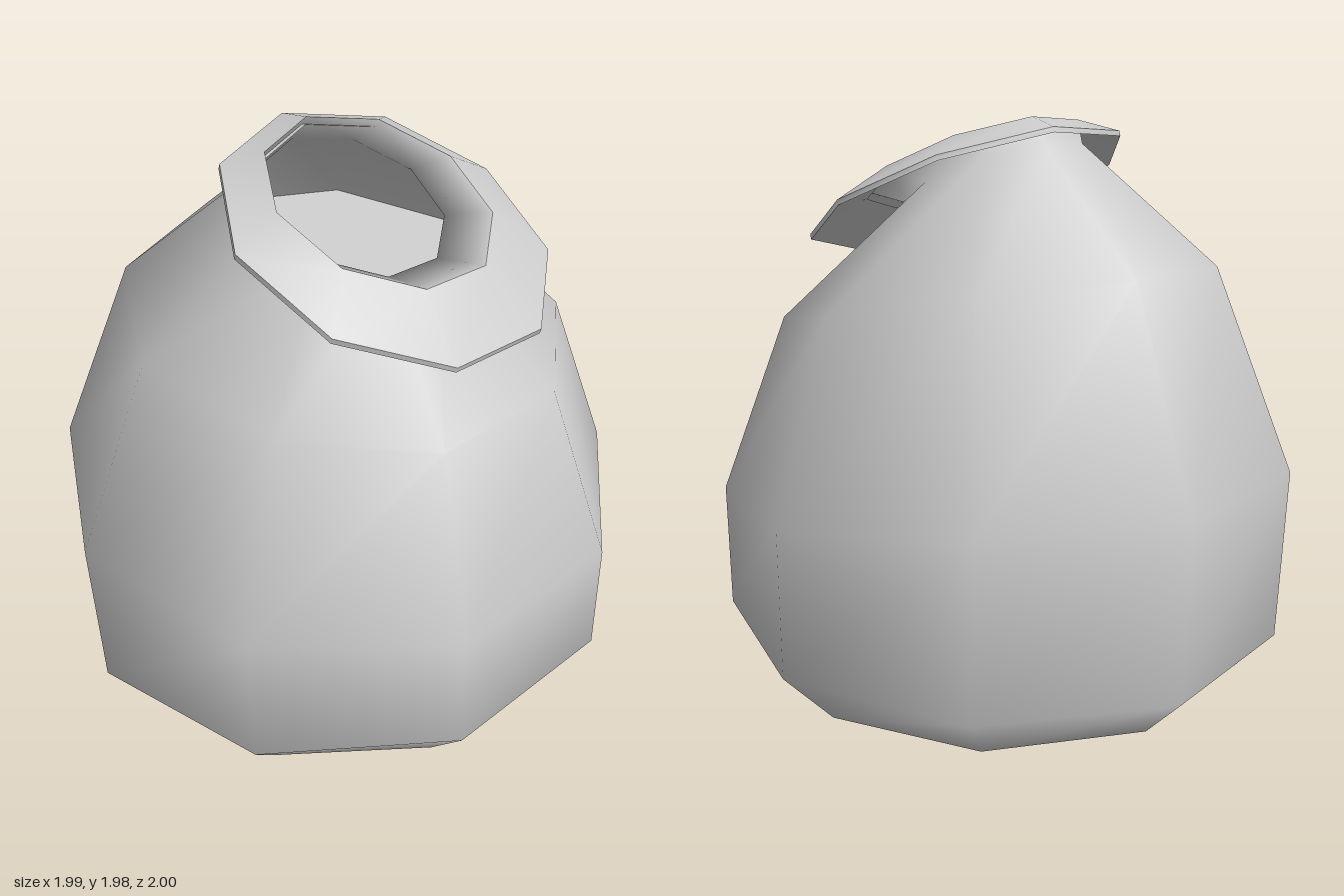
import * as THREE from 'three';

const SIDES = 9;
const CENTRE_X = -0.035;
const WIDEN = 1.01; // rings are a touch wider than deep

// Ring = [centre y, centre z, radius, forward tilt in radians]
const base = [0, 0, 0.815, 0];
const foot = [0.195, 0.016, 1.0, -0.036];
const belly = [0.71, 0, 1.016, 0.073];
const shoulder = [1.365, 0.032, 0.771, 0.172];
const neck = [1.765, 0.058, 0.328, 0.43];
const lip = [1.8175, 0.17, 0.4, 0.43];
const lipUnder = [1.79, 0.165, 0.398, 0.43];
const rimUnder = [1.696, 0.2, 0.584, 0.43];
const rimTop = [1.714, 0.205, 0.584, 0.43];

// Joins consecutive tilted nine-sided rings with one smooth skin
function loft(name, rings) {
  const points = [], index = [];
  for (const [cy, cz, r, tilt] of rings) {
    for (let i = 0; i < SIDES; i++) {
      const a = (i / SIDES) * Math.PI * 2;
      const d = r * Math.sin(a);
      points.push(CENTRE_X + WIDEN * r * Math.cos(a), cy - d * Math.sin(tilt), cz + d * Math.cos(tilt));
    }
  }
  for (let j = 0; j < rings.length - 1; j++) {
    for (let i = 0; i < SIDES; i++) {
      const n = (i + 1) % SIDES;
      const a = j * SIDES + i, c = j * SIDES + n;
      const b = a + SIDES, d = c + SIDES;
      index.push(a, b, c, c, b, d);
    }
  }
  const geometry = new THREE.BufferGeometry();
  geometry.setAttribute('position', new THREE.Float32BufferAttribute(points, 3));
  geometry.setIndex(index);
  geometry.computeVertexNormals();
  const material = new THREE.MeshStandardMaterial({ color: 0xcccccc, side: THREE.DoubleSide });
  const mesh = new THREE.Mesh(geometry, material);
  mesh.name = name;
  return mesh;
}

export function createModel() {
  const pot = new THREE.Group();
  pot.name = 'pot';

  // Thin rounded body, open underneath, flaring from the neck to the lip
  pot.add(loft('body', [base, foot, belly, shoulder, neck, lip]));

  // Tilted flange around the mouth, each crease a separate skin
  pot.add(loft('rimUnderside', [lipUnder, rimUnder]));
  pot.add(loft('rimEdge', [rimUnder, rimTop]));
  pot.add(loft('rimTop', [rimTop, lip]));

  // Tilted surface of the contents, filling the body to the shoulder
  const [y, z, , tilt] = shoulder;
  pot.add(loft('contents', [[y, z, 0.767, tilt], [y, z, 0.001, tilt]]));

  return pot;
}
